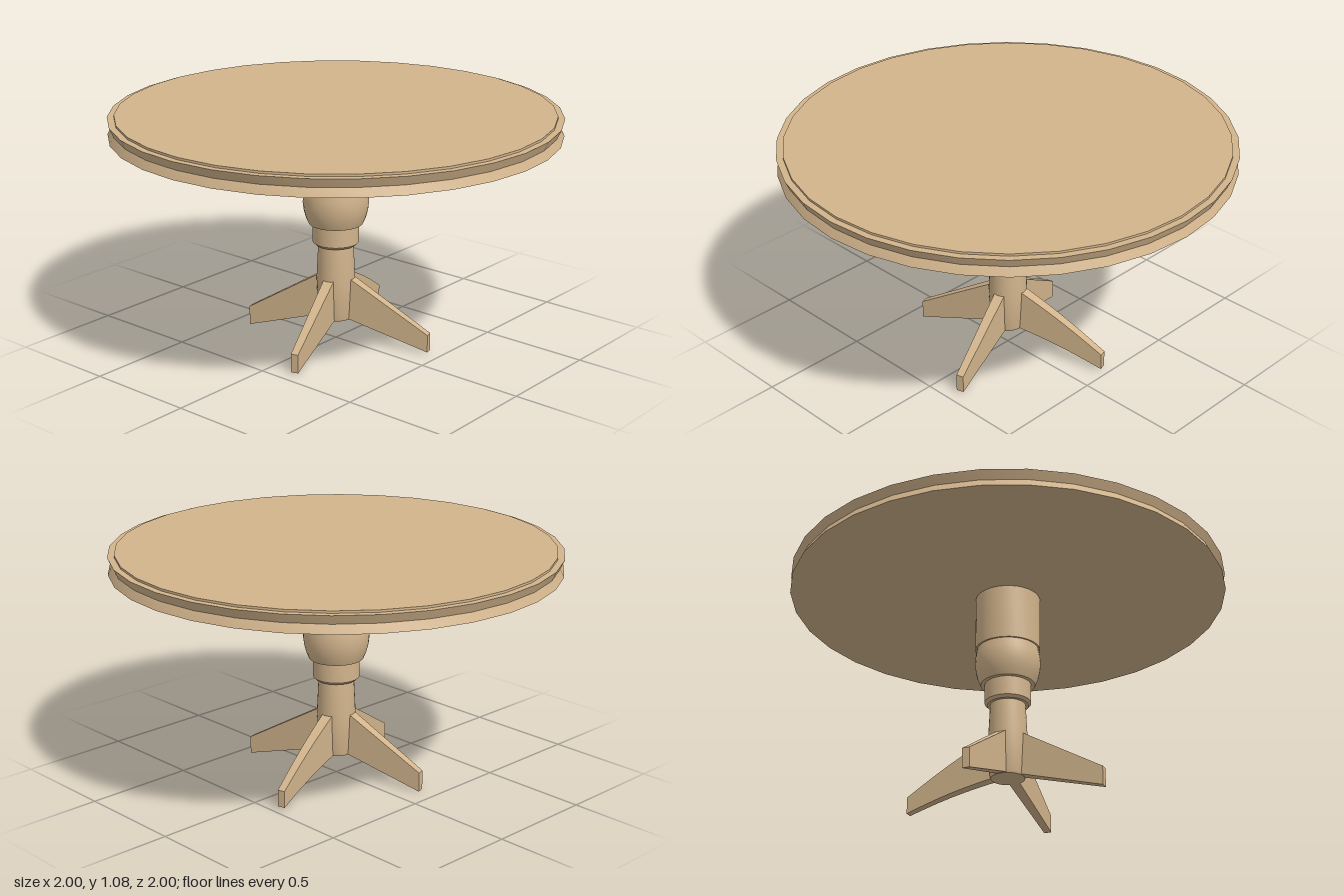
import * as THREE from 'three';
import { toCreasedNormals } from 'three/addons/utils/BufferGeometryUtils.js';

const wood = new THREE.MeshStandardMaterial({ color: 0xd2b48c });

// Turned part: profile is [radius, height] from bottom to top
function turned(name, profile) {
  const points = profile.map(([r, y]) => new THREE.Vector2(r, y));
  const geometry = toCreasedNormals(new THREE.LatheGeometry(points, 32), 0.5);
  const mesh = new THREE.Mesh(geometry, wood);
  mesh.name = name;
  return mesh;
}

// Leg along +z: a box tapered in height and thickness, sloping to the floor
function leg(name, angle, reach, foot, bulge) {
  const geometry = new THREE.BoxGeometry(1, 1, 1, 1, 1, 6);
  const p = geometry.attributes.position;
  const lerp = THREE.MathUtils.lerp;
  for (let i = 0; i < p.count; i++) {
    const t = p.getZ(i) + 0.5;
    const bow = bulge * Math.sin(Math.PI * t);
    const y = p.getY(i) > 0 ? lerp(0.312, 0.09, t) : lerp(0.112, foot, t);
    p.setXYZ(i, p.getX(i) * lerp(0.05, 0.034, t), y + bow, lerp(0.07, reach, t));
  }
  const mesh = new THREE.Mesh(toCreasedNormals(geometry, 0.4), wood);
  mesh.name = name;
  mesh.rotation.y = angle;
  return mesh;
}

export function createModel() {
  const table = new THREE.Group();
  table.name = 'pedestalTable';

  // Round top with a V groove around its edge and a slightly raised surface
  table.add(turned('tableTop', [
    [0, 0.993], [1, 0.993], [0.982, 1.03], [1, 1.07],
    [0.97, 1.07], [0.97, 1.08], [0, 1.08],
  ]));

  // Pedestal: upper drum, rounded bulb, collar and lower shaft
  table.add(turned('upperDrum', [[0, 0.735], [0.148, 0.735], [0.148, 0.995]]));
  table.add(turned('bulb', [
    [0, 0.56], [0.123, 0.56], [0.136, 0.59], [0.145, 0.625],
    [0.149, 0.66], [0.147, 0.695], [0.14, 0.735],
  ]));
  table.add(turned('collar', [[0, 0.46], [0.093, 0.46], [0.105, 0.472], [0.105, 0.565]]));
  table.add(turned('shaft', [
    [0, 0.108], [0.076, 0.108], [0.08, 0.12], [0.088, 0.3], [0.08, 0.465],
  ]));

  // Four splayed legs, all turned by the same angle from the axes
  const turn = 0.29;
  const legs = [
    ['frontLeg', 0.45, 0.004, 0],
    ['leftLeg', 0.455, 0.008, 0],
    ['backLeg', 0.487, 0.013, 0.01],
    ['rightLeg', 0.434, 0, 0],
  ];
  legs.forEach(([name, reach, foot, bulge], i) => {
    table.add(leg(name, turn + i * Math.PI / 2, reach, foot, bulge));
  });
  return table;
}
